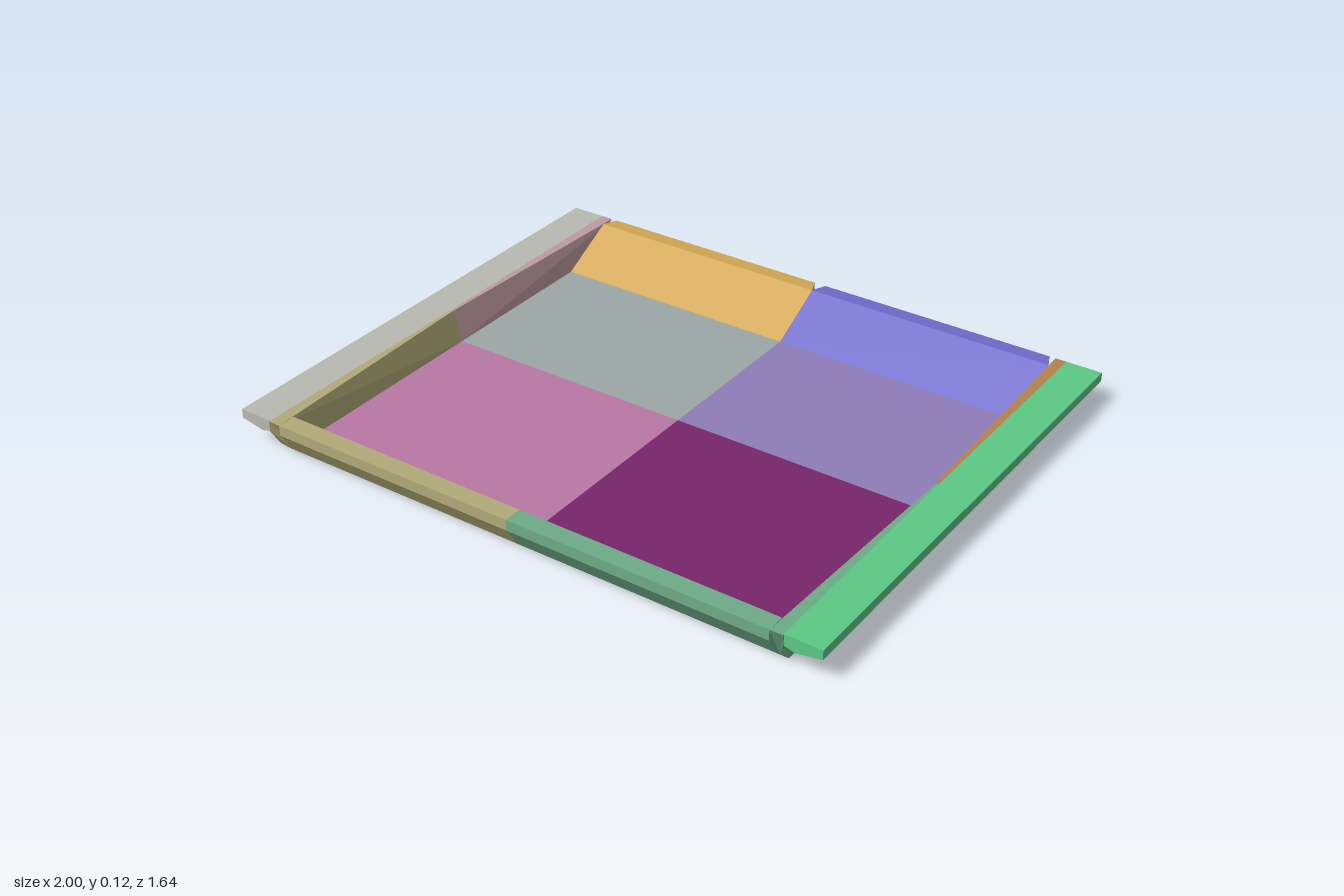
import * as THREE from 'three';

// Closed solid skinned over cross-sections (each a loop of [x, y, z] points)
function loft(name, color, sections) {
  const tris = [];
  const n = sections[0].length;
  for (let s = 0; s < sections.length - 1; s++) {
    const a = sections[s], b = sections[s + 1];
    for (let i = 0; i < n; i++) {
      const j = (i + 1) % n;
      tris.push([a[i], a[j], b[j]], [a[i], b[j], b[i]]);
    }
  }
  const last = sections[sections.length - 1];
  for (let i = 1; i < n - 1; i++) {
    tris.push([sections[0][0], sections[0][i + 1], sections[0][i]]);
    tris.push([last[0], last[i], last[i + 1]]);
  }
  // Signed volume tells whether the faces point inward (mirrored parts)
  let volume = 0;
  for (const [p, q, r] of tris) {
    volume += new THREE.Vector3(...p).dot(new THREE.Vector3(...q).cross(new THREE.Vector3(...r)));
  }
  if (volume < 0) tris.forEach((t) => t.reverse());
  const geo = new THREE.BufferGeometry();
  geo.setAttribute('position', new THREE.Float32BufferAttribute(tris.flat(2), 3));
  geo.computeVertexNormals();
  const mesh = new THREE.Mesh(geo, new THREE.MeshStandardMaterial({ color, flatShading: true }));
  mesh.name = name;
  return mesh;
}

const TOP = 0.115, FLOOR = 0.012, INNER = 0.845;

export function createModel() {
  const group = new THREE.Group();
  const sides = [
    { side: 1, label: 'left', frontFloor: 0x772569, backFloor: 0x8f7cb8, front: 0x6dab86,
      back: 0x6e68c8, sideBack: 0xb5814f, rail: 0x5cc886 },
    { side: -1, label: 'right', frontFloor: 0xb877a5, backFloor: 0x9ca8a6, front: 0xb0aa78,
      back: 0xd0a550, sideBack: 0xbf9aa1, rail: 0xb8bab2 },
  ];

  for (const c of sides) {
    const add = (part, color, sections) => group.add(loft(
      c.label + part, color,
      sections.map((loop) => loop.map(([x, y, z]) => [x * c.side, y, z])),
    ));

    // Floor panels, front and back quarter
    const panel = (z0, z1) => [0, INNER].map((x) => [[x, 0, z0], [x, 0, z1], [x, FLOOR, z1], [x, FLOOR, z0]]);
    add('FrontFloor', c.frontFloor, panel(0, 0.715));
    add('BackFloor', c.backFloor, panel(-0.585, 0));

    // Steep front wall with a chamfered foot
    const frontProfile = [[0, 0.71], [FLOOR, 0.71], [TOP, 0.76], [TOP, 0.82], [0.08, 0.82], [0.012, 0.777], [0, 0.765]];
    add('FrontWall', c.front, [0, INNER].map((x) => frontProfile.map(([y, z]) => [x, y, z])));

    // Long sloping back wall, its rim mitred at both ends: [y, z, inset]
    const backProfile = [[0, -0.58, 0], [FLOOR, -0.58, 0], [TOP, -0.77, 0], [TOP, -0.82, 0.02], [0.085, -0.82, 0.02], [0, -0.65, 0]];
    add('BackWall', c.back, [
      backProfile.map(([y, z, d]) => [d, y, z]),
      backProfile.map(([y, z, d]) => [INNER - d, y, z]),
    ]);

    // Side walls: upper inner edge bows outward at mid length
    const sideSection = (bow, zs) => [
      [INNER, 0, zs[0]], [INNER, FLOOR, zs[1]], [INNER + bow, TOP, zs[2]], [0.885, TOP, zs[2]],
      [0.885, 0.08, zs[3]], [0.885, 0.02, zs[4]], [0.87, 0, zs[0]],
    ];
    const middle = sideSection(0.028, [0, 0, 0, 0, 0]);
    add('FrontSideWall', c.front, [middle, sideSection(0, [0.765, 0.775, 0.82, 0.82, 0.782])]);
    add('BackSideWall', c.sideBack, [middle, sideSection(0, [-0.65, -0.67, -0.82, -0.81, -0.69])]);

    // Overhanging side rail with a sloped underside
    const railProfile = [[0.882, TOP], [1, TOP], [1, 0.085], [0.92, 0.07], [0.882, 0.08]];
    add('SideRail', c.rail, [-0.82, 0.815].map((z) => railProfile.map(([x, y]) => [x, y, z])));
  }
  return group;
}
